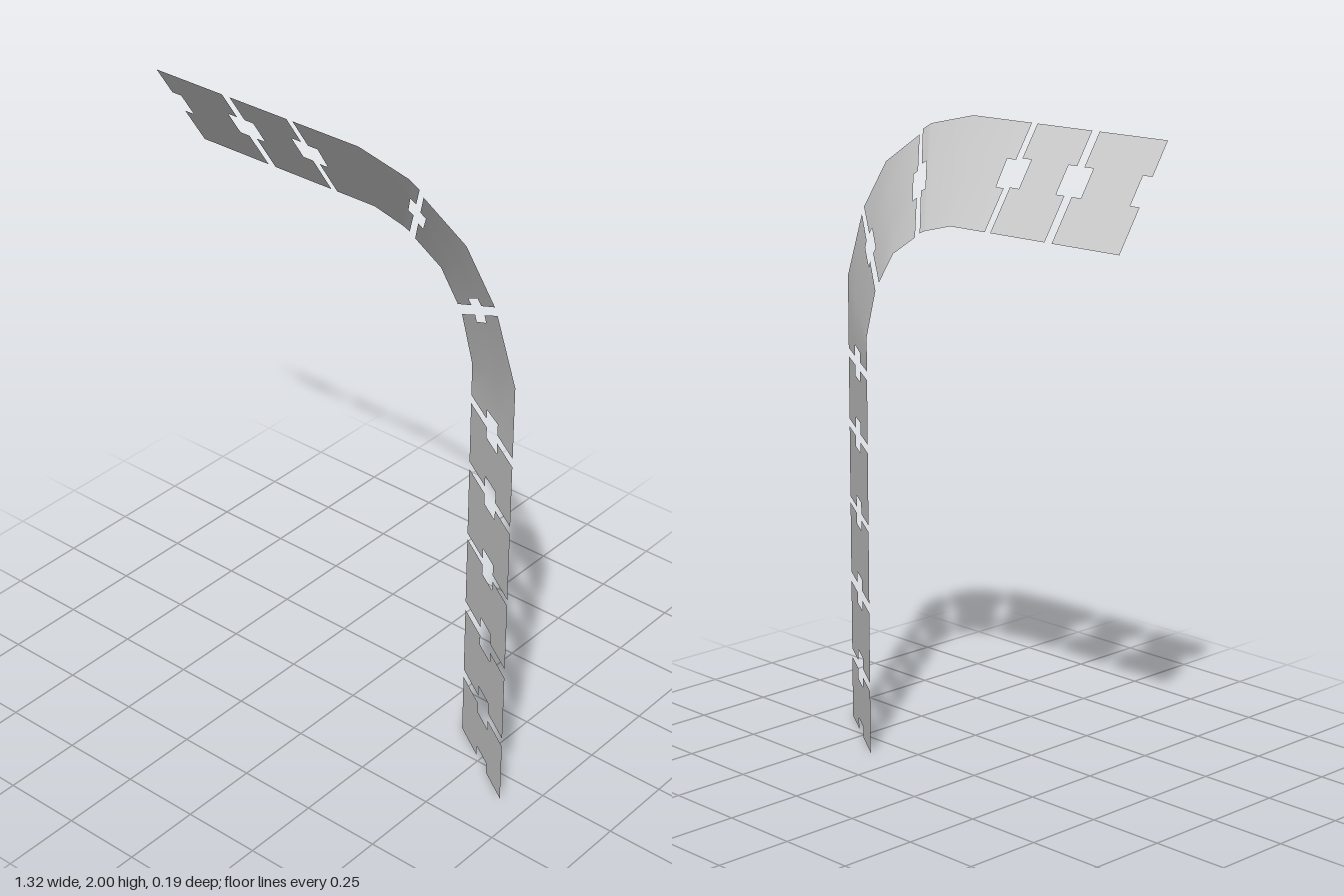
import * as THREE from 'three';

const Z = 0.095; // inner edge sits at -Z, outer edge at +Z

// A station is a straight line across the ribbon: [innerX, innerY, outerX, outerY]
const level = (y) => [0.365, y, 0.66, y];
const upright = (x) => [x, 1.706, x, 2];
const mix = (a, b, t) => a.map((v, i) => v + (b[i] - v) * t);
const midGap = (a, b) => Math.hypot((a[0] + a[2] - b[0] - b[2]) / 2, (a[1] + a[3] - b[1] - b[3]) / 2);

// Thin tilted panel through the stations, with a notch in the middle of both ends
function panel(stations, [f0, f1], startDepth, endDepth) {
  const n = stations.length;
  const cut = (a, b, depth) => mix(a, b, Math.min(0.9, depth / midGap(a, b)));
  const rows = [
    stations[0],
    cut(stations[0], stations[1], startDepth),
    ...stations.slice(1, -1),
    cut(stations[n - 1], stations[n - 2], endDepth),
    stations[n - 1],
  ];
  const lanes = [0, f0, f1, 1];
  const positions = [];
  const index = [];
  for (const [ix, iy, ox, oy] of rows) {
    for (const f of lanes) positions.push(ix + (ox - ix) * f, iy + (oy - iy) * f, -Z + 2 * Z * f);
  }
  const last = rows.length - 2;
  for (let r = 0; r <= last; r++) {
    for (let l = 0; l < 3; l++) {
      if (l === 1 && (r === 0 || r === last)) continue; // notch
      const a = r * 4 + l;
      index.push(a, a + 4, a + 1, a + 1, a + 4, a + 5);
    }
  }
  const geometry = new THREE.BufferGeometry();
  geometry.setAttribute('position', new THREE.Float32BufferAttribute(positions, 3));
  geometry.setIndex(index);
  geometry.computeVertexNormals();
  return geometry;
}

export function createModel() {
  const group = new THREE.Group();
  group.name = 'segmentedBentStrip';
  const grey = new THREE.MeshStandardMaterial({ color: 0xcccccc, side: THREE.DoubleSide });
  grey.name = 'light grey';

  const add = (name, ...args) => {
    const mesh = new THREE.Mesh(panel(...args), grey);
    mesh.name = name;
    group.add(mesh);
  };

  // Horizontal run
  const across = [0.415, 0.68];
  add('horizontalPanel1', [upright(-0.66), upright(-0.405)], across, 0.035, 0.035);
  add('horizontalPanel2', [upright(-0.377), upright(-0.162)], across, 0.033, 0.036);

  // Three panels around the bend
  add('bendPanelUpper', [
    upright(-0.14), [0, 1.706, 0.1, 2], [0.105, 1.68, 0.28, 1.96], [0.13, 1.67, 0.316, 1.94],
  ], [0.4, 0.66], 0.033, 0.022);
  add('bendPanelMiddle', [
    [0.15, 1.655, 0.33, 1.922], [0.245, 1.595, 0.48, 1.826], [0.308, 1.5, 0.582, 1.675],
  ], [0.38, 0.64], 0.022, 0.022);
  add('bendPanelLower', [
    [0.324, 1.473, 0.592, 1.652], [0.365, 1.325, 0.66, 1.45], level(1.22),
  ], [0.38, 0.64], 0.022, 0.033);

  // Vertical run, listed as [top, bottom]
  const runs = [[1.193, 0.992], [0.966, 0.738], [0.717, 0.488], [0.457, 0.23], [0.201, 0]];
  runs.forEach(([top, bottom], i) => {
    add('verticalPanel' + (i + 1), [level(top), level(bottom)], [0.39, 0.64], 0.034, 0.036);
  });
  return group;
}
